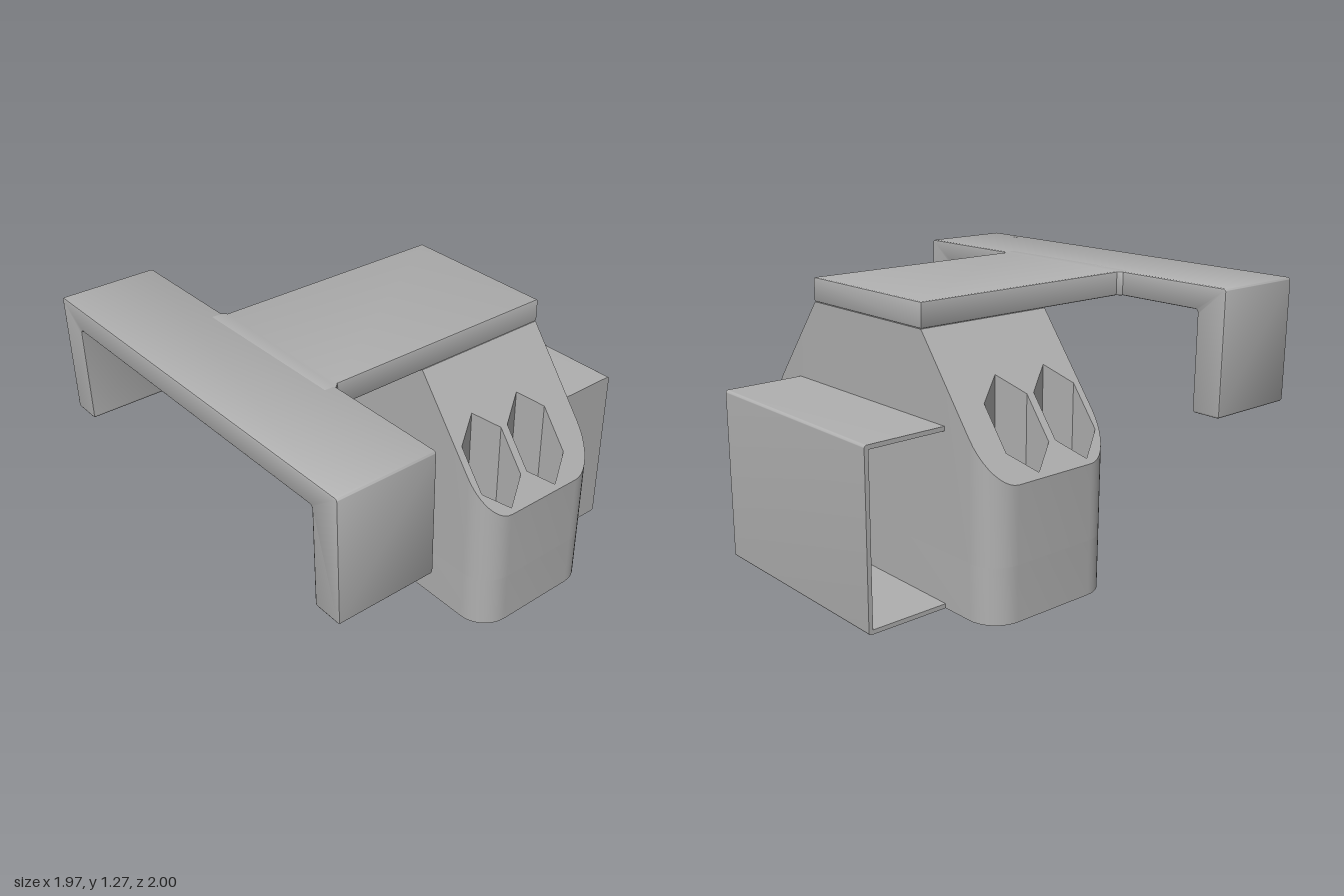
import * as THREE from 'three';
import { toCreasedNormals } from 'three/addons/utils/BufferGeometryUtils.js';

const BACK = -0.61, FRONT = 0.07;          // body depth
const HALF = 0.82, TOP_HALF = 0.383;       // body half width, low and high
const SHOULDER = 0.59, TOP = 1.16;         // where the slopes start and end
const FLOOR = 0.25;                        // floor of the nut pockets
const HOLE_X = 0.67, HOLE_Z = [-0.35, -0.08];

const grey = new THREE.MeshStandardMaterial({ color: 0xb0b0b0 });
grey.name = 'grey plastic';

// Closed outline; each point is [x, y, corner radius]
function outline(points) {
  const shape = new THREE.Shape();
  const n = points.length;
  points.forEach(([x, y, r = 0], i) => {
    const p = new THREE.Vector2(x, y);
    const toward = (q) => new THREE.Vector2(q[0], q[1]).sub(p).setLength(r).add(p);
    const a = toward(points[(i + n - 1) % n]);
    const b = toward(points[(i + 1) % n]);
    if (i === 0) shape.moveTo(a.x, a.y);
    else shape.lineTo(a.x, a.y);
    if (r > 0) {
      // cubic that closely follows a quarter circle
      const c1 = a.clone().lerp(p, 0.5523), c2 = b.clone().lerp(p, 0.5523);
      shape.bezierCurveTo(c1.x, c1.y, c2.x, c2.y, b.x, b.y);
    }
  });
  shape.closePath();
  return shape;
}

function polygonHole(x, z, radius, sides) {
  const pts = [];
  for (let i = 0; i < sides; i++) {
    const a = (i / sides) * Math.PI * 2;
    pts.push(new THREE.Vector2(x + radius * Math.cos(a), -z + radius * Math.sin(a)));
  }
  return new THREE.Path(pts);
}

function extrude(shape, depth, bevel = 0) {
  return new THREE.ExtrudeGeometry(shape, {
    depth: depth - 2 * bevel, curveSegments: 10,
    bevelEnabled: bevel > 0, bevelThickness: bevel, bevelSize: bevel,
    bevelOffset: -bevel, bevelSegments: 2,
  }).translate(0, 0, bevel);
}

// Plan outlines use y = -z and are raised along y
const raise = (shape, y0, y1, bevel) =>
  extrude(shape, y1 - y0, bevel).rotateX(-Math.PI / 2).translate(0, y0, 0);

function add(group, name, geometry) {
  const mesh = new THREE.Mesh(toCreasedNormals(geometry, 0.6), grey);
  mesh.name = name;
  group.add(mesh);
}

function buildBody() {
  const body = new THREE.Group();
  body.name = 'body';

  // Base slab with four round screw holes
  const r = 0.14;
  const base = outline([[-HALF, -FRONT, r], [HALF, -FRONT, r], [HALF, -BACK, r], [-HALF, -BACK, r]]);
  for (const s of [-1, 1]) for (const z of HOLE_Z) base.holes.push(polygonHole(s * HOLE_X, z, 0.068, 28));
  add(body, 'base', raise(base, 0, FLOOR));

  // Middle block
  const core = outline([[-TOP_HALF, -FRONT], [TOP_HALF, -FRONT], [TOP_HALF, -BACK], [-TOP_HALF, -BACK]]);
  add(body, 'core', raise(core, FLOOR, TOP));

  // Sloped shoulders with hexagonal nut pockets
  for (const s of [-1, 1]) {
    const plan = outline([[s * TOP_HALF, -FRONT], [s * HALF, -FRONT, r], [s * HALF, -BACK, r], [s * TOP_HALF, -BACK]]);
    for (const z of HOLE_Z) plan.holes.push(polygonHole(s * HOLE_X, z, 0.134, 6));
    const geo = raise(plan, FLOOR, TOP);
    const pos = geo.attributes.position;
    for (let i = 0; i < pos.count; i++) {
      if (pos.getY(i) < TOP - 0.01) continue;
      const t = (Math.abs(pos.getX(i)) - TOP_HALF) / (HALF - TOP_HALF);
      pos.setY(i, THREE.MathUtils.lerp(TOP, SHOULDER, t));
    }
    add(body, s > 0 ? 'leftShoulder' : 'rightShoulder', geo);
  }
  return body;
}

function buildArm() {
  const arm = new THREE.Group();
  arm.name = 'topArm';

  // Flat stem, slightly flared where it joins the crossbar
  const w = 0.385, f = 0.405;
  const stem = outline([[-w, 0.61], [-w, -0.52], [-f, -0.54], [-f, -0.6], [f, -0.6], [f, -0.54], [w, -0.52], [w, 0.61]]);
  add(arm, 'stem', raise(stem, TOP, 1.27, 0.008));

  // Crossbar with a leg hanging at each end
  const o = 0.987, i = 0.84, e = 0.015;
  const bar = outline([
    [-o, 0.7, e], [-i, 0.7, e], [-i, TOP, e], [i, TOP, e],
    [i, 0.7, e], [o, 0.7, e], [o, 1.27, e], [-o, 1.27, e],
  ]);
  add(arm, 'crossbar', extrude(bar, 0.46, 0.01).translate(0, 0, 0.54));
  return arm;
}

function buildRearBox() {
  const box = new THREE.Group();
  box.name = 'rearBox';

  // Thin C-section sleeve, open toward the right side
  const t = 0.02, h = 0.79, e = 0.012;
  const sleeve = outline([
    [0.6, 0], [1, 0, e], [1, h, e], [0.6, h],
    [0.6, h - t], [1 - t, h - t], [1 - t, t], [0.6, t],
  ]);
  add(box, 'sleeve', extrude(sleeve, 1.056).rotateY(Math.PI / 2).translate(-0.528, 0, 0));

  // Closed left end
  const end = outline([[0.6, 0], [1, 0, e], [1, h, e], [0.6, h]]);
  add(box, 'endWall', extrude(end, t).rotateY(Math.PI / 2).translate(0.528 - t, 0, 0));
  return box;
}

export function createModel() {
  const model = new THREE.Group();
  model.name = 'mountingBracket';
  model.add(buildBody(), buildArm(), buildRearBox());
  return model;
}
